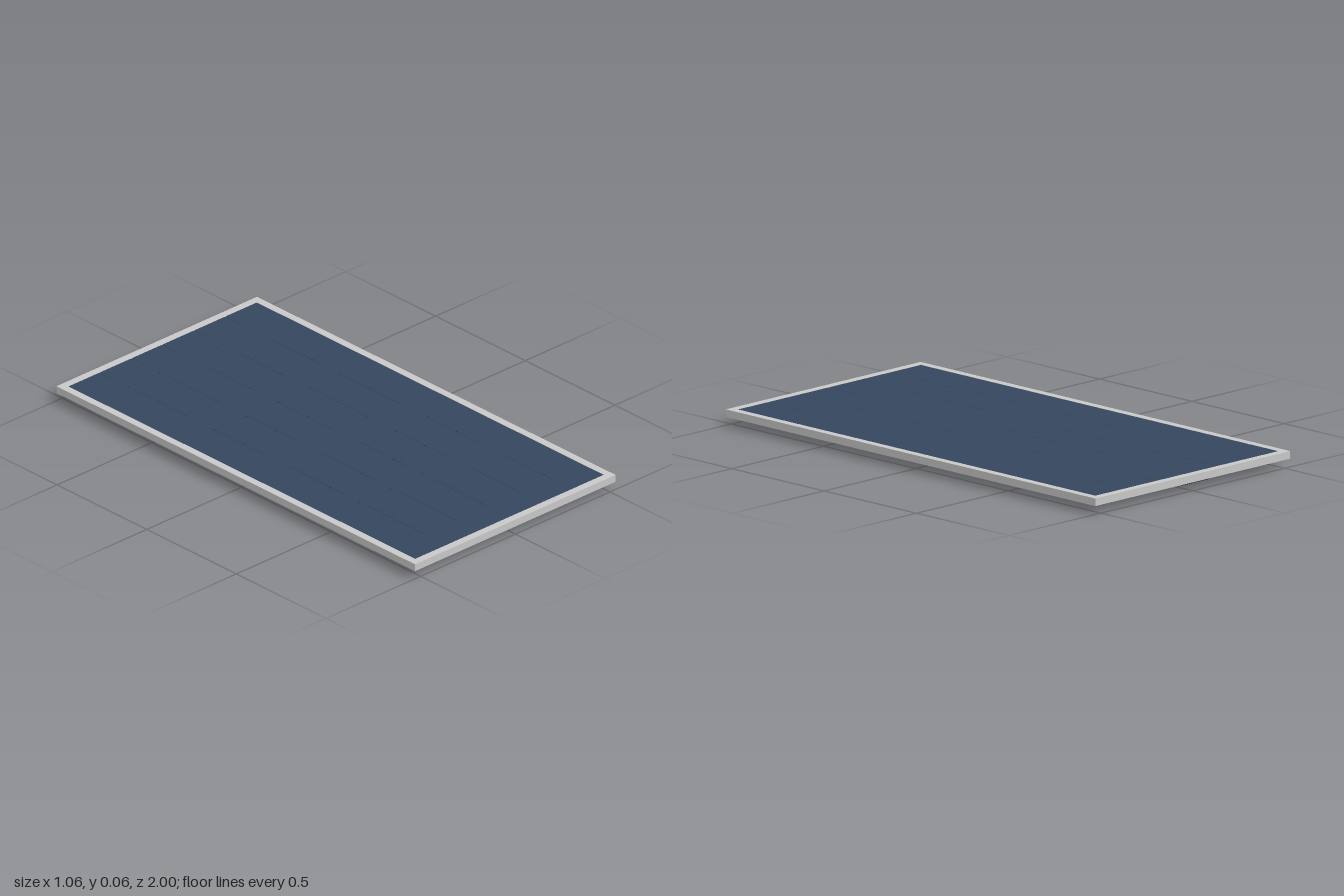
import * as THREE from 'three';

const W = 1.06, L = 2, RIM = 0.032, BOTTOM = 0.033, TOP = 0.063;

export function createModel() {
  const group = new THREE.Group();
  const mat = (name, color) => {
    const m = new THREE.MeshStandardMaterial({ color });
    m.name = name;
    return m;
  };
  const aluminium = mat('aluminium', 0xc8c8c8);
  const cellBlue = mat('cell blue', 0x34465e);
  const backing = mat('backing black', 0x444446);
  const gapDark = mat('cell gap navy', 0x1c2436);

  const add = (name, geometry, material, x = 0, y = 0, z = 0, parent = group) => {
    const mesh = new THREE.Mesh(geometry, material);
    mesh.name = name;
    mesh.position.set(x, y, z);
    parent.add(mesh);
    return mesh;
  };
  const box = (w, h, d) => new THREE.BoxGeometry(w, h, d);

  // Rectangular frame with an open middle
  const rect = (path, w, l) => path.moveTo(-w / 2, -l / 2).lineTo(w / 2, -l / 2)
    .lineTo(w / 2, l / 2).lineTo(-w / 2, l / 2).closePath();
  const innerW = W - 2 * RIM, innerL = L - 2 * RIM;
  const outline = rect(new THREE.Shape(), W, L);
  outline.holes.push(rect(new THREE.Path(), innerW, innerL));
  const frameGeo = new THREE.ExtrudeGeometry(outline, { depth: TOP - BOTTOM, bevelEnabled: false });
  frameGeo.rotateX(-Math.PI / 2);
  add('frame', frameGeo, aluminium, 0, BOTTOM, 0);

  // Laminate: back sheet below, dark layer under the cells
  add('backSheet', box(innerW, 0.013, innerL), backing, 0, BOTTOM + 0.0075, 0);
  add('cellBed', box(innerW, 0.013, innerL), gapDark, 0, 0.0535, 0);

  // Grid of 6 x 12 cells with hairline gaps and clipped corners
  const cells = new THREE.Group();
  cells.name = 'cells';
  group.add(cells);
  const cols = 6, rows = 12, gap = 0.001, clip = 0.003;
  const px = (innerW + gap) / cols, pz = (innerL + gap) / rows;
  const a = (px - gap) / 2, b = (pz - gap) / 2;
  const cellShape = new THREE.Shape([
    [-a + clip, -b], [a - clip, -b], [a, -b + clip], [a, b - clip],
    [a - clip, b], [-a + clip, b], [-a, b - clip], [-a, -b + clip],
  ].map(([x, y]) => new THREE.Vector2(x, y)));
  const cellGeo = new THREE.ExtrudeGeometry(cellShape, { depth: 0.002, bevelEnabled: false });
  cellGeo.rotateX(-Math.PI / 2);
  for (let i = 0; i < cols; i++) {
    for (let j = 0; j < rows; j++) {
      add('cell', cellGeo, cellBlue, (i - (cols - 1) / 2) * px, 0.06, (j - (rows - 1) / 2) * pz, cells);
    }
  }

  // Junction box under the back end
  add('junctionBox', box(0.104, 0.035, 0.084), backing, 0, 0.0175, -0.806);

  // Output cable: out of the box, then sideways
  const path = new THREE.CurvePath();
  const v = (x, z) => new THREE.Vector3(x, 0.014, z);
  path.add(new THREE.LineCurve3(v(0, -0.84), v(0, -0.925)));
  path.add(new THREE.QuadraticBezierCurve3(v(0, -0.925), v(0, -0.941), v(-0.016, -0.941)));
  path.add(new THREE.LineCurve3(v(-0.016, -0.941), v(-0.14, -0.941)));
  add('cable', new THREE.TubeGeometry(path, 40, 0.0045, 8), backing);
  const cap = new THREE.CircleGeometry(0.0045, 8);
  cap.rotateY(-Math.PI / 2);
  add('cableEnd', cap, backing, -0.14, 0.014, -0.941);

  return group;
}
